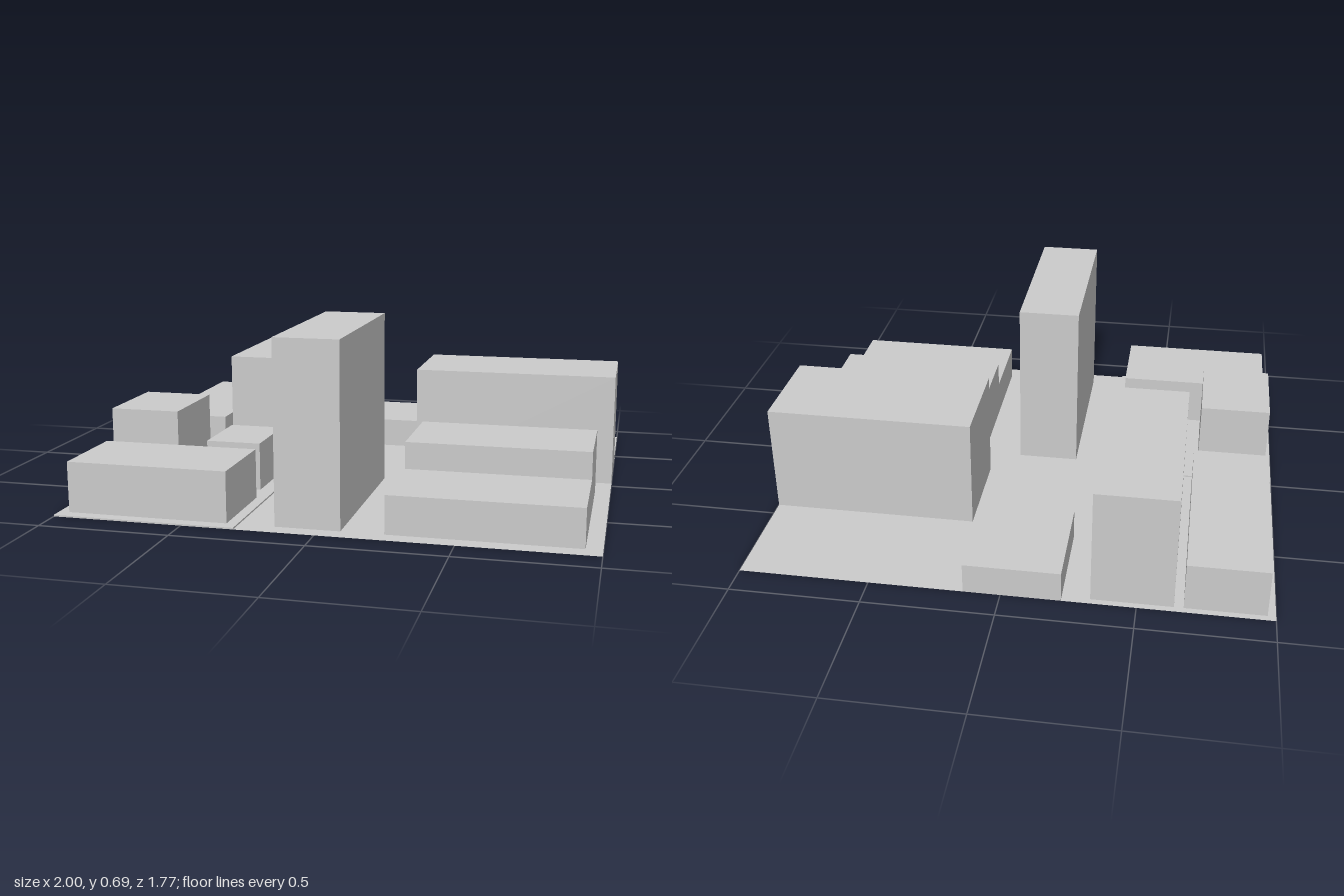
import * as THREE from 'three';

const material = new THREE.MeshStandardMaterial({
  color: 0xcccccc, flatShading: true, side: THREE.DoubleSide,
});

// Order of the six sides inside a BoxGeometry
const SIDE = { left: 0, right: 1, top: 2, bottom: 3, front: 4, back: 5 };
const PAD_Y = 0.006;

function addMesh(parent, name, geometry) {
  const mesh = new THREE.Mesh(geometry, material);
  mesh.name = name;
  parent.add(mesh);
  return mesh;
}

// Hollow box over a footprint [x0, x1, z0, z1], without the listed sides
function shell([x0, x1, z0, z1], y0, y1, omit = ['bottom']) {
  const geometry = new THREE.BoxGeometry(x1 - x0, y1 - y0, z1 - z0);
  const dropped = omit.map((side) => SIDE[side]);
  geometry.setIndex([...geometry.index.array].filter((_, i) => !dropped.includes(Math.floor(i / 6))));
  geometry.clearGroups();
  geometry.translate((x0 + x1) / 2, (y0 + y1) / 2, (z0 + z1) / 2);
  return geometry;
}

const corners = ([x0, x1, z0, z1]) => [[x0, z0], [x1, z0], [x1, z1], [x0, z1]];
const toPoints = (list) => list.map(([x, z]) => new THREE.Vector2(x, -z));

// Flat sheet with an opening under every footprint
function sheet(outline, footprints, y) {
  const shape = new THREE.Shape(toPoints(outline));
  for (const f of footprints) shape.holes.push(new THREE.Path(toPoints(corners(f))));
  return new THREE.ShapeGeometry(shape).rotateX(-Math.PI / 2).translate(0, y, 0);
}

export function createModel() {
  const city = new THREE.Group();
  city.name = 'cityBlock';

  // Footprints as x0, x1, z0, z1
  const edgeLow = [-0.225, 0.14, -0.885, -0.485];
  const edgeBlock = [0.19, 1, -0.44, -0.04];
  const terrace = [0.24, 0.94, 0.09, 0.82];
  const pad = [-1, -0.3, 0.02, 0.885];

  const groundBuildings = [
    { name: 'lowRearBuilding', foot: [-0.97, -0.67, -0.86, -0.07], height: 0.19 },
    { name: 'tallRearBuilding', foot: [-0.635, -0.33, -0.86, -0.07], height: 0.46 },
    { name: 'tower', foot: [-0.165, 0.08, 0.09, 0.82], height: 0.69 },
  ];
  const edgeBuildings = [
    { name: 'lowEdgeBuilding', foot: edgeLow, height: 0.12 },
    { name: 'wideEdgeBuilding', foot: edgeBlock, height: 0.44 },
  ];
  const padBuildings = [
    { name: 'cornerBuilding', foot: [-0.97, -0.69, 0.065, 0.42], height: 0.315 },
    { name: 'smallBuilding', foot: [-0.58, -0.36, 0.095, 0.39], height: 0.195 },
    { name: 'frontBuilding', foot: [-0.96, -0.34, 0.5, 0.84], height: 0.2 },
  ];

  // Ground, notched where the edge buildings and the raised pad meet its border
  const outline = [
    [-1, -0.885], [-0.225, -0.885], [-0.225, -0.485], [0.14, -0.485], [0.14, -0.885],
    [1, -0.885], [1, -0.44], [0.19, -0.44], [0.19, -0.04], [1, -0.04],
    [1, 0.885], [-0.3, 0.885], [-0.3, 0.02], [-1, 0.02],
  ];
  addMesh(city, 'ground', sheet(outline, [...groundBuildings.map((b) => b.foot), terrace], 0));

  // Slightly raised pad with its rim
  addMesh(city, 'raisedPad', sheet(corners(pad), padBuildings.map((b) => b.foot), PAD_Y));
  addMesh(city, 'padRim', shell(pad, 0, PAD_Y, ['top', 'bottom']));

  // Plain buildings
  for (const { name, foot, height } of [...groundBuildings, ...edgeBuildings]) {
    addMesh(city, name, shell(foot, 0, height));
  }
  for (const { name, foot, height } of padBuildings) {
    addMesh(city, name, shell(foot, PAD_Y, height));
  }

  // Stepped building: high rear, low front and the riser between them
  const [x0, x1, z0, z1] = terrace;
  const stepZ = 0.455, low = 0.145, high = 0.25;
  const stepped = new THREE.Group();
  stepped.name = 'steppedBuilding';
  addMesh(stepped, 'upperStep', shell([x0, x1, z0, stepZ], 0, high, ['bottom', 'front']));
  addMesh(stepped, 'lowerStep', shell([x0, x1, stepZ, z1], 0, low, ['bottom', 'back']));
  const riser = addMesh(stepped, 'riser', new THREE.PlaneGeometry(x1 - x0, high - low));
  riser.position.set((x0 + x1) / 2, (low + high) / 2, stepZ);
  city.add(stepped);

  return city;
}
